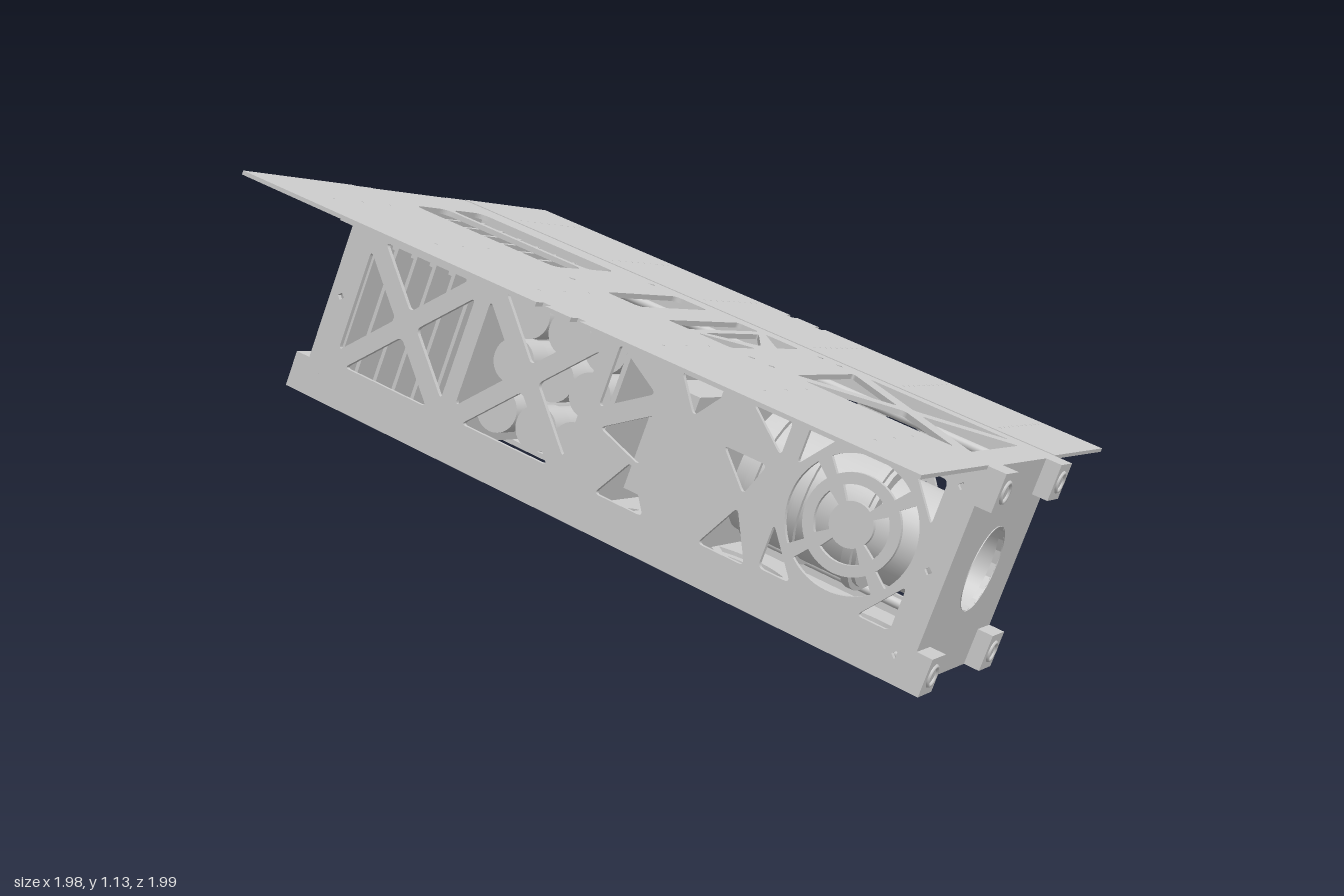
import * as THREE from 'three';

const MAT = new THREE.MeshStandardMaterial({ color: 0xcccccc, side: THREE.DoubleSide });
const T = 0.012; // sheet thickness
const H = 0.25;  // half width of the body

// closed path with softened corners
function rounded(points, r, path = new THREE.Path()) {
  const p = points.map(([x, y]) => new THREE.Vector2(x, y));
  p.forEach((c, i) => {
    const a = p[(i + p.length - 1) % p.length], b = p[(i + 1) % p.length];
    const toward = q => c.clone().lerp(q, Math.min(0.4, r / c.distanceTo(q)));
    const s = toward(a), e = toward(b);
    if (i === 0) path.moveTo(s.x, s.y); else path.lineTo(s.x, s.y);
    path.quadraticCurveTo(c.x, c.y, e.x, e.y);
  });
  path.closePath();
  return path;
}

const corners = (x0, x1, y0, y1) => [[x0, y0], [x1, y0], [x1, y1], [x0, y1]];
const slot = (x0, x1, y0, y1, r = 0.02) => rounded(corners(x0, x1, y0, y1), r);
const tri = (...p) => rounded(p, 0.015);
const sharp = points => new THREE.Path(points.map(([x, y]) => new THREE.Vector2(x, y)));
const dot = (x, y, r = 0.005) => sharp([[x - r, y], [x, y - r], [x + r, y], [x, y + r]]);

// four triangles that leave an X of metal between them
function cross(x0, x1, y0, y1, b = 0.03) {
  const cx = (x0 + x1) / 2, cy = (y0 + y1) / 2, c = b * (y1 - y0) / (x1 - x0);
  return [
    tri([x0 + b, y1], [x1 - b, y1], [cx, cy + c]), tri([x0 + b, y0], [x1 - b, y0], [cx, cy - c]),
    tri([x0, y0 + c], [x0, y1 - c], [cx - b, cy]), tri([x1, y0 + c], [x1, y1 - c], [cx + b, cy]),
  ];
}

// concentric arc slots
function vent(cx, cy, radii, count = 4) {
  const holes = [];
  for (const [a, b] of radii) {
    for (let i = 0; i < count; i++) {
      const gap = 0.016 / b, s = (i + 0.5) * 2 * Math.PI / count + gap, e = (i + 1.5) * 2 * Math.PI / count - gap;
      const h = new THREE.Path();
      h.absarc(cx, cy, b, s, e, false);
      h.absarc(cx, cy, a, e, s, true);
      h.closePath();
      holes.push(h);
    }
  }
  return holes;
}

// corner cut-outs around a vent
function ventCorners(cx, cy, w, h) {
  return [[1, 1], [1, -1], [-1, 1], [-1, -1]].map(([i, j]) =>
    tri([cx + i * w, cy + j * h], [cx + i * w * 0.5, cy + j * h], [cx + i * w, cy + j * h * 0.4]));
}

function sheet(name, outline, holes, depth = T) {
  const shape = new THREE.Shape(outline.map(([x, y]) => new THREE.Vector2(x, y)));
  shape.holes = holes;
  const g = new THREE.ExtrudeGeometry(shape, { depth, bevelEnabled: false, curveSegments: 10 });
  const m = new THREE.Mesh(g, MAT);
  m.name = name;
  return m;
}

export function createModel() {
  const craft = new THREE.Group();
  craft.name = 'satellite';
  const add = (geo, name, x, y, z, axis = 'y') => {
    const m = new THREE.Mesh(geo, MAT);
    m.name = name;
    m.position.set(x, y, z);
    if (axis === 'x') m.rotation.z = -Math.PI / 2;
    if (axis === 'z') m.rotation.x = Math.PI / 2;
    craft.add(m);
    return m;
  };
  const box = (name, x, y, z, a, b, c) => add(new THREE.BoxGeometry(a, b, c), name, x, y, z);
  const rod = (name, r, len, x, y, z, axis) =>
    add(new THREE.CylinderGeometry(r, r, len, 28), name, x, y, z, axis);
  const side = corners(-0.81, 0.81, -H, H);
  const fasteners = [];
  for (const x of [-0.78, 0.77]) for (const y of [-0.19, 0, 0.19]) fasteners.push(dot(x, y, 0.009));

  // left side wall
  const left = sheet('leftWall', side, [
    ...fasteners, ...cross(-0.74, -0.44, -0.15, 0.16), ...cross(-0.4, -0.1, -0.15, 0.17),
    tri([-0.06, 0.02], [0.06, 0.1], [-0.06, 0.17]), tri([-0.04, -0.02], [0.08, 0.06], [0.08, -0.06]),
    tri([0.0, -0.16], [0.13, -0.16], [0.06, -0.06]), tri([0.1, 0.17], [0.22, 0.17], [0.16, 0.09]),
    tri([0.27, -0.16], [0.39, -0.16], [0.33, -0.05]), tri([0.25, 0.06], [0.36, 0.06], [0.33, -0.02]),
    tri([0.28, 0.17], [0.38, 0.17], [0.38, 0.09]),
    ...vent(0.58, 0.02, [[0.05, 0.085], [0.11, 0.15]]), ...ventCorners(0.58, 0.02, 0.16, 0.17),
  ]);
  left.position.z = H - T;

  // right side wall with two board windows
  const right = sheet('rightWall', side, [
    ...fasteners, slot(-0.76, -0.36, 0.03, 0.15), slot(-0.76, -0.36, -0.15, -0.03),
    ...cross(-0.07, 0.16, -0.17, 0.17), ...vent(0.45, 0, [[0.05, 0.08], [0.1, 0.13], [0.15, 0.185]]),
    ...ventCorners(0.45, 0, 0.22, 0.19),
  ]);
  right.position.z = -H;
  box('accessCover', -0.21, 0, -H - 0.002, 0.22, 0.34, 0.008);

  // top deck: outline y runs toward the right wall
  const top = sheet('topDeck', corners(-0.844, 0.806, -H, H), [
    slot(-0.73, -0.33, 0.012, 0.15, 0.03), slot(-0.73, -0.33, -0.15, -0.012, 0.03),
    slot(-0.17, -0.08, -0.18, 0.18),
    slot(0.0, 0.055, -0.19, 0.19, 0.012),
    tri([0.075, -0.19], [0.165, -0.19], [0.165, -0.06]), tri([0.075, -0.15], [0.075, 0.15], [0.15, 0]),
    tri([0.075, 0.19], [0.165, 0.19], [0.165, 0.06]),
    ...cross(0.32, 0.74, -0.2, 0.2, 0.03),
    ...[-0.25, 0.22, 0.27].flatMap(x => [dot(x, 0.2, 0.01), dot(x, -0.2, 0.01)]),
  ]);
  top.rotation.x = -Math.PI / 2;
  top.position.y = H - T;

  // bottom wall
  const bottom = sheet('bottomWall', side, [
    ...vent(0.6, 0, [[0.04, 0.075], [0.1, 0.14]]), ...vent(0.27, 0, [[0.04, 0.075], [0.1, 0.14]]),
    slot(0.0, 0.1, -0.17, 0.17), tri([-0.15, -0.17], [-0.03, -0.17], [-0.03, 0.1]),
    tri([-0.57, -0.17], [-0.2, -0.17], [-0.2, 0.12]), tri([-0.57, -0.12], [-0.57, 0.17], [-0.24, 0.17]),
    ...cross(-0.77, -0.61, -0.17, 0.17, 0.02),
  ]);
  bottom.rotation.x = -Math.PI / 2;
  bottom.position.y = -H;

  // end plates: round aperture at one end, braced frame at the other
  const aperture = new THREE.Path();
  aperture.absarc(0, 0, 0.1, 0, Math.PI * 2, false);
  const endSquare = corners(-H, H, -H, H);
  const front = sheet('aperturePlate', endSquare, [aperture]);
  const back = sheet('bracedPlate', endSquare, cross(-0.18, 0.18, -0.18, 0.18, 0.03));
  front.position.x = 0.81 - T;
  back.position.x = -0.81;
  for (const p of [front, back]) p.rotation.y = Math.PI / 2;
  craft.add(left, right, top, bottom, front, back);

  // corner feet with round bosses, and tie rods between them
  for (const y of [-1, 1]) for (const z of [-1, 1]) {
    for (const x of [-1, 1]) {
      box('foot', x * 0.81, y * 0.207, z * 0.207, 0.075, 0.086, 0.086);
      const boss = add(new THREE.TorusGeometry(0.022, 0.005, 6, 20), 'footRing', x * 0.848, y * 0.207, z * 0.207);
      boss.rotation.y = Math.PI / 2;
    }
    rod('tieRod', 0.012, 1.6, 0, y * 0.2, z * 0.2, 'x');
  }

  // deployed wings with notched outer edges, bolt rows and hinges
  for (const s of [-1, 1]) {
    const [a, b] = [H * s, 0.6635 * s], n = b - 0.03 * s;
    const outline = [[-0.844, a], [0.806, a], [0.806, b], [0.035, b], [0.035, n], [0.015, n], [0.015, b],
      [-0.05, b], [-0.05, n], [-0.07, n], [-0.07, b], [-0.844, b]];
    const holes = [];
    for (const x of [-0.7, -0.42, -0.15, 0.16, 0.4, 0.65]) {
      const step = s > 0 ? 0.035 : 0.11;
      for (let y = 0.3; y < 0.62; y += step) holes.push(dot(x, y * s, 0.004));
    }
    const wing = sheet(s > 0 ? 'rightWing' : 'leftWing', outline, holes, 0.009);
    wing.rotation.x = -Math.PI / 2;
    wing.position.y = H - 0.007;
    craft.add(wing);
    for (const x of [-0.36, 0.36]) {
      box('hingeLeaf', x, H - 0.028, s * (H + 0.006), 0.22, 0.03, 0.012);
      rod('hingePin', 0.01, 0.22, x, H - 0.012, s * (H + 0.008), 'x');
    }
  }

  // circuit board stack
  for (let i = 0; i < 7; i++) {
    const x = -0.75 + i * 0.055;
    box('circuitBoard', x, 0, 0, 0.009, 0.44, 0.44);
    for (const z of [-0.1, 0.1]) box('connector', x + 0.02, 0.16, z, 0.03, 0.05, 0.12);
  }

  // battery cells lying across the body
  for (const x of [-0.33, -0.22, -0.12]) for (const y of [-0.1, 0.02, 0.13]) {
    rod('batteryCell', 0.048, 0.34, x, y, 0, 'z');
    for (const z of [-1, 1]) rod('batteryCap', 0.053, 0.07, x, y, z * 0.15, 'z');
  }

  // control unit between batteries and optics
  box('bulkhead', -0.05, 0, 0, 0.012, 0.42, 0.42);
  box('controlUnit', 0.06, -0.02, 0, 0.1, 0.26, 0.26);
  box('bulkhead', 0.2, 0, 0, 0.012, 0.44, 0.44);

  // optical barrel, recessed behind the aperture
  rod('opticalBarrel', 0.15, 0.32, 0.42, 0, 0, 'x');
  rod('opticalNeck', 0.12, 0.16, 0.66, 0, 0, 'x');
  for (const x of [0.3, 0.42, 0.56]) rod('barrelBand', 0.162, 0.02, x, 0, 0, 'x');
  add(new THREE.CylinderGeometry(0.1, 0.1, 0.08, 40, 1, true), 'apertureSleeve', 0.772, 0, 0, 'x');

  // tilt the whole craft into its resting pose
  const L = new THREE.Vector3(0.8, -0.297, 0.521).normalize();
  const W = new THREE.Vector3(-0.497, 0.166, 0.852);
  const N = new THREE.Vector3().crossVectors(W, L).normalize();
  W.crossVectors(L, N);
  craft.quaternion.setFromRotationMatrix(new THREE.Matrix4().makeBasis(L, N, W));
  craft.position.set(-0.07, 0.529, 0.006);

  const root = new THREE.Group();
  root.add(craft);
  return root;
}
